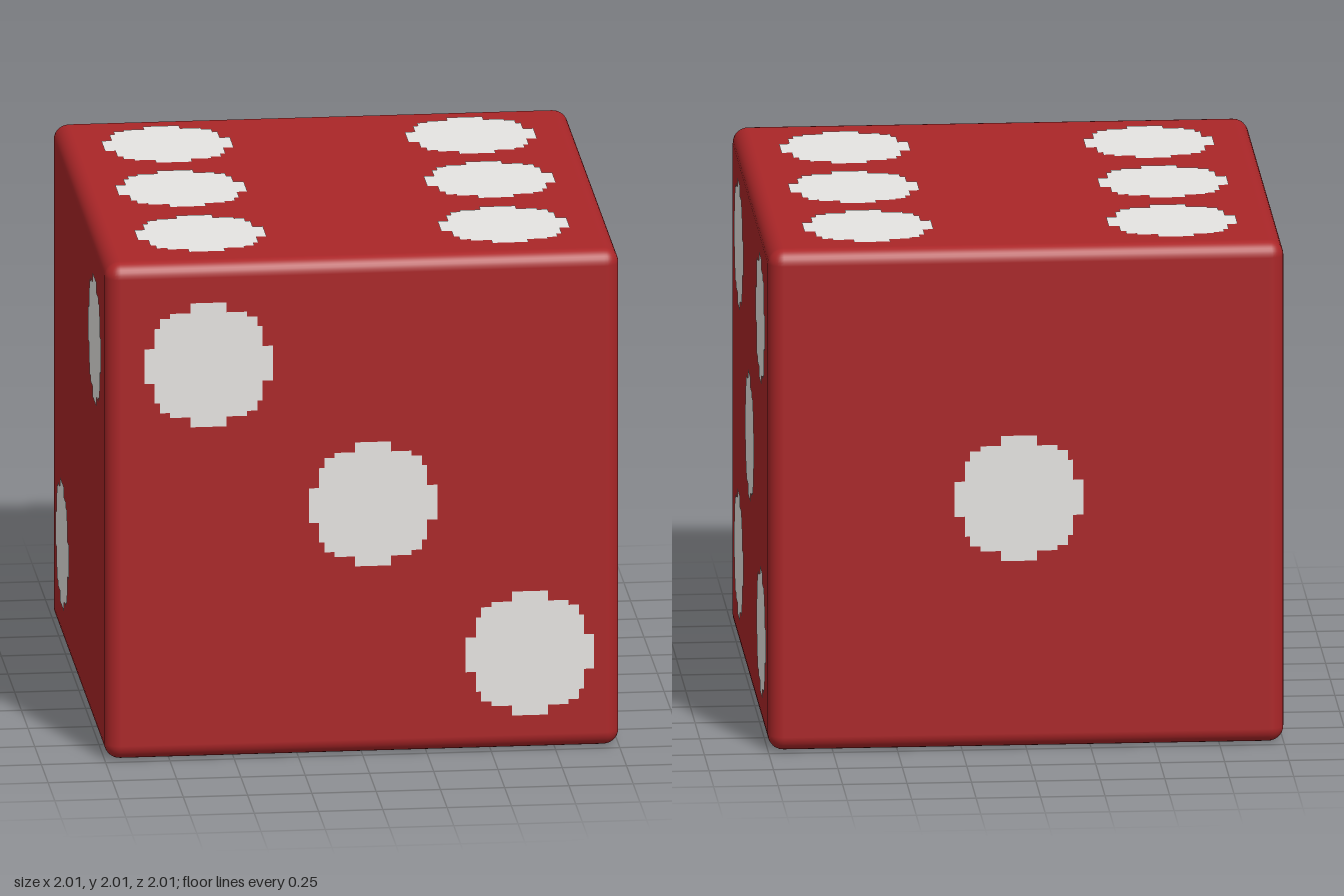
import * as THREE from 'three';
import { RoundedBoxGeometry } from 'three/addons/geometries/RoundedBoxGeometry.js';

const red = new THREE.MeshStandardMaterial({ color: 0xaa2628 });
red.name = 'red body';
const white = new THREE.MeshStandardMaterial({ color: 0xe6e4e2 });
white.name = 'white pip';

// Stepped round outline, one quarter turned four times
function pipShape() {
  const quarter = [[0.25, -0.07], [0.25, 0.07], [0.21, 0.07], [0.21, 0.15], [0.19, 0.15], [0.19, 0.19], [0.15, 0.19], [0.15, 0.21], [0.07, 0.21]];
  const points = [];
  for (let i = 0; i < 4; i++) {
    for (const [x, y] of quarter) {
      points.push(new THREE.Vector2(x, y).rotateAround(new THREE.Vector2(), i * Math.PI / 2));
    }
  }
  return new THREE.Shape(points);
}

// Pip centres on each face, in the face's own right and up directions
const Q = Math.PI / 2;
const faces = [
  { name: 'frontPips', turn: [0, 0], pips: [[-0.6, 0.59], [0.04, 0.01], [0.65, -0.61]] },
  { name: 'backPips', turn: [0, 2 * Q], pips: [[-0.03, 0]] },
  { name: 'leftPips', turn: [0, Q], pips: [[-0.58, 0.63], [0.58, 0.63], [0, 0.01], [-0.58, -0.61], [0.63, -0.61]] },
  { name: 'rightPips', turn: [0, -Q], pips: [[0.61, 0.59], [-0.6, -0.59]] },
  {
    name: 'topPips', turn: [-Q, 0],
    pips: [[-0.59, 0.63], [0.59, 0.63], [-0.6, 0.02], [0.6, 0.02], [-0.59, -0.6], [0.59, -0.6]],
  },
  { name: 'bottomPips', turn: [Q, 0], pips: [[0.62, -0.63], [0.63, 0.62], [-0.66, -0.65], [-0.66, 0.64]] },
];

export function createModel() {
  const model = new THREE.Group();
  model.name = 'die';

  // Body with softly rounded edges
  const body = new THREE.Mesh(new RoundedBoxGeometry(2, 2, 2, 4, 0.06), red);
  body.name = 'body';
  body.position.y = 1;
  model.add(body);

  // Flat pips just above each face
  const pipGeometry = new THREE.ShapeGeometry(pipShape());
  for (const { name, turn, pips } of faces) {
    const face = new THREE.Group();
    face.name = name;
    face.position.y = 1;
    face.rotation.set(turn[0], turn[1], 0);
    for (const [u, v] of pips) {
      const pip = new THREE.Mesh(pipGeometry, white);
      pip.name = 'pip';
      pip.position.set(u, v, 1.003);
      face.add(pip);
    }
    model.add(face);
  }
  return model;
}
